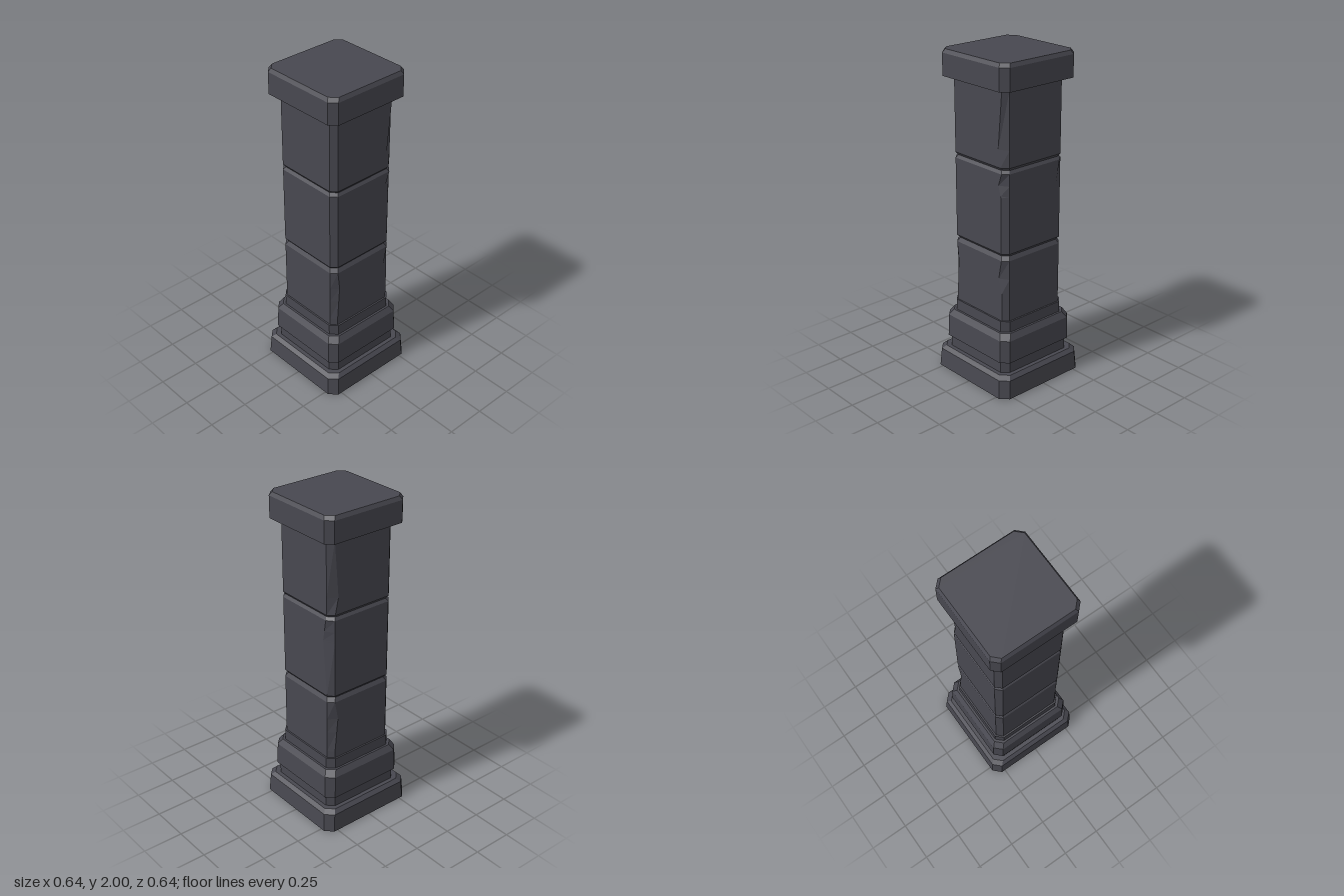
import * as THREE from 'three';

const stone = new THREE.MeshStandardMaterial({ color: 0x484850 });
stone.name = 'darkStone';

// Linear lookup in a list of [y, value] points
function lookup(points, y) {
  if (y <= points[0][0]) return points[0][1];
  for (let i = 1; i < points.length; i++) {
    const [y0, v0] = points[i - 1], [y1, v1] = points[i];
    if (y <= y1) return v0 + (v1 - v0) * (y - y0) / (y1 - y0);
  }
  return points[points.length - 1][1];
}

// Square with cut corners; slots run from the front left corner round to the front right
const slots = [[1, 1, 0], [1, 1, 1], [1, -1, 1], [1, -1, 0], [-1, -1, 0], [-1, -1, 1], [-1, 1, 1], [-1, 1, 0]];

function ring(y, half, cut, chips) {
  return slots.map(([sx, sz, onSide], k) => {
    const c = chips[k] ? lookup(chips[k], y) : cut;
    return onSide ? [sx * half, y, sz * (half - c)] : [sx * (half - c), y, sz * half];
  });
}

// Closed faceted block through a profile of [y, half width]
function block(name, profile, cut, chips = {}) {
  const ys = new Set(profile.map((p) => p[0]));
  Object.values(chips).forEach((list) => list.forEach((p) => ys.add(p[0])));
  const rings = [...ys].sort((a, b) => a - b).map((y) => ring(y, lookup(profile, y), cut, chips));
  const pos = [];
  const tri = (a, b, c) => pos.push(...a, ...b, ...c);
  for (let r = 0; r < rings.length - 1; r++) {
    const lo = rings[r], hi = rings[r + 1];
    for (let i = 0; i < 8; i++) {
      const j = (i + 1) % 8;
      tri(lo[i], lo[j], hi[j]);
      tri(lo[i], hi[j], hi[i]);
    }
  }
  const bottom = rings[0], top = rings[rings.length - 1];
  for (let i = 1; i < 7; i++) {
    tri(top[0], top[i], top[i + 1]);
    tri(bottom[0], bottom[i + 1], bottom[i]);
  }
  const geo = new THREE.BufferGeometry();
  geo.setAttribute('position', new THREE.Float32BufferAttribute(pos, 3));
  geo.computeVertexNormals();
  const mesh = new THREE.Mesh(geo, stone);
  mesh.name = name;
  return mesh;
}

export function createModel() {
  const pillar = new THREE.Group();
  pillar.name = 'stonePillar';

  // Stepped base
  pillar.add(
    block('foot', [[0, 0.32], [0.115, 0.312], [0.137, 0.29]], 0.045),
    block('baseNeck', [[0.13, 0.265], [0.215, 0.265]], 0.04),
    block('baseBlock', [[0.21, 0.28], [0.35, 0.276], [0.387, 0.253]], 0.043),
    block('baseCollar', [[0.38, 0.24], [0.455, 0.24]], 0.04),
  );

  // Shaft blocks with bevelled joints and chipped corners
  pillar.add(
    block('lowerShaft', [[0.45, 0.23], [0.837, 0.23], [0.862, 0.216]], 0.033, {
      0: [[0.48, 0.03], [0.63, 0.03], [0.72, 0.055], [0.837, 0.033]],
      3: [[0.5, 0.033], [0.72, 0.055], [0.837, 0.033]],
      7: [[0.5, 0.03], [0.72, 0.046], [0.837, 0.033]],
    }),
    block('middleShaft', [[0.862, 0.216], [0.88, 0.23], [1.362, 0.23], [1.38, 0.218]], 0.033, {
      0: [[0.88, 0.035], [1.22, 0.035], [1.29, 0.056], [1.362, 0.03]],
      2: [[0.88, 0.033], [1.23, 0.064], [1.362, 0.04]],
    }),
    block('upperShaft', [[1.38, 0.218], [1.397, 0.23], [1.85, 0.23]], 0.033, {
      0: [[1.397, 0.04], [1.5, 0.057], [1.84, 0.026]],
      3: [[1.397, 0.035], [1.5, 0.058], [1.84, 0.033]],
    }),
  );

  // Cap slab
  pillar.add(block('cap', [[1.845, 0.279], [1.978, 0.279], [2, 0.266]], 0.04));
  return pillar;
}
